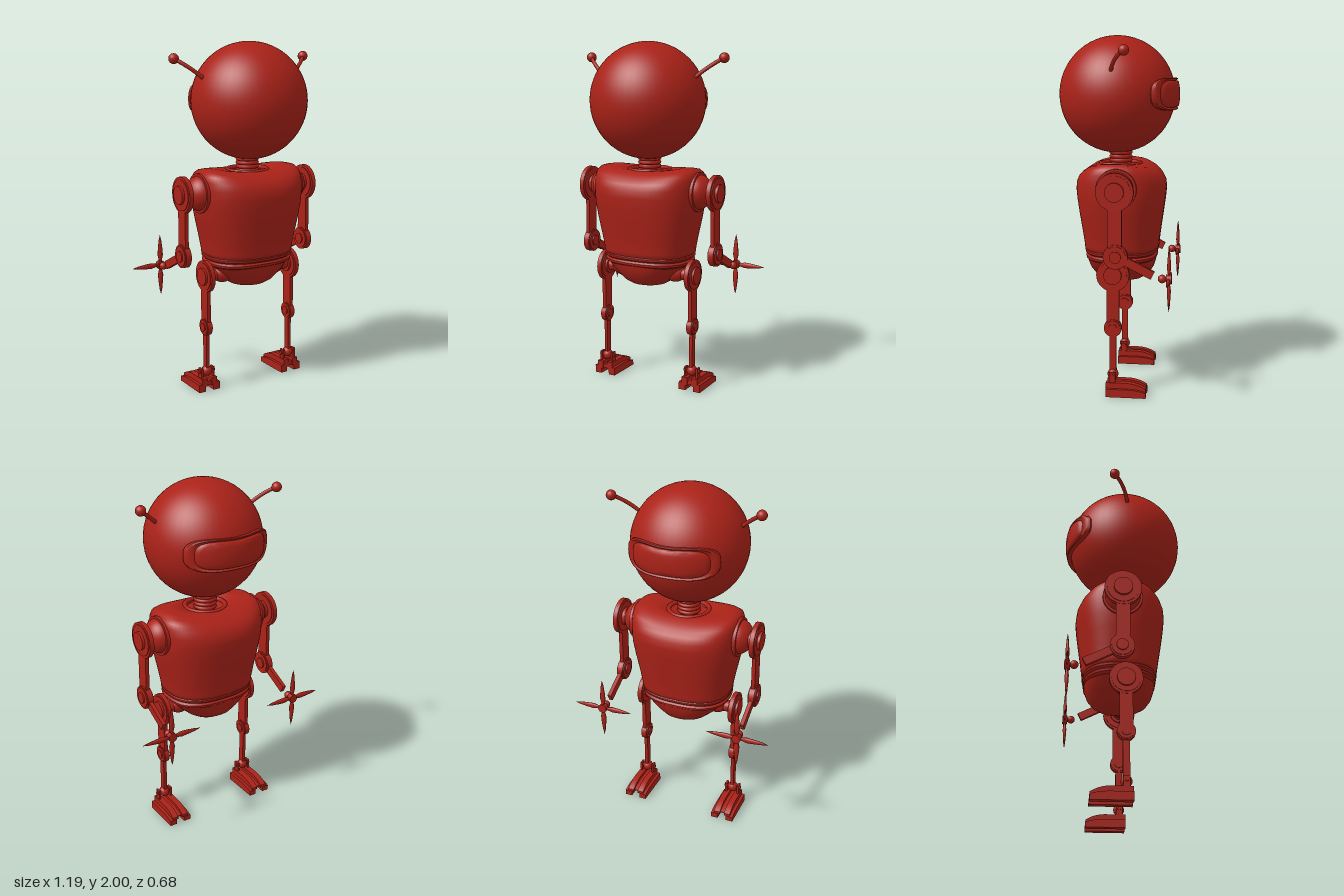
import * as THREE from 'three';
import { toCreasedNormals } from 'three/addons/utils/BufferGeometryUtils.js';

const mat = new THREE.MeshStandardMaterial({ color: 0xaa2218 });

function add(parent, name, geo, x = 0, y = 0, z = 0) {
  const m = new THREE.Mesh(geo, mat);
  m.name = name;
  m.position.set(x, y, z);
  parent.add(m);
  return m;
}

// Closed rings of points skinned into one surface
function skin(rows, seg, point, crease = 0.7) {
  const pos = [], idx = [];
  rows.forEach((row) => {
    for (let i = 0; i < seg; i++) pos.push(...point(row, (i / seg) * Math.PI * 2));
  });
  for (let j = 0; j < rows.length - 1; j++) {
    for (let i = 0; i < seg; i++) {
      const a = j * seg + i, b = j * seg + (i + 1) % seg;
      idx.push(a, a + seg, b, b, a + seg, b + seg);
    }
  }
  const g = new THREE.BufferGeometry();
  g.setAttribute('position', new THREE.Float32BufferAttribute(pos, 3));
  g.setIndex(idx);
  return toCreasedNormals(g, crease);
}

const spow = (v, p) => Math.sign(v) * Math.abs(v) ** p;

// Rounded-box cross-section; row = [y, rx, rz, cz, power, shoulder lift]
const bodyPoint = ([y, rx, rz, cz, p = 0.78, lift = 0], t) => {
  const x = rx * spow(Math.cos(t), p);
  return [x, y + lift * (x / 0.25) ** 2, cz + rz * spow(Math.sin(t), p)];
};

// Cylinder lying along x
function disc(parent, name, r, x0, x1, y, z, seg = 32) {
  const g = new THREE.CylinderGeometry(r, r, Math.abs(x1 - x0), seg).rotateZ(Math.PI / 2);
  return add(parent, name, g, (x0 + x1) / 2, y, z);
}

// Pivot joint: a wide disc with a smaller hub through it
function joint(parent, name, s, r, hubR, x, w, hubW, y, z) {
  const g = new THREE.Group();
  g.name = name;
  parent.add(g);
  disc(g, 'jointDisc', r, s * x - w / 2, s * x + w / 2, y, z);
  disc(g, 'jointRim', r * 0.86, s * x - w * 0.65, s * x + w * 0.65, y, z);
  disc(g, 'jointHub', hubR, s * x - hubW / 2, s * x + hubW / 2, y, z);
}

function buildHead(root) {
  const head = new THREE.Group();
  head.name = 'head';
  head.position.set(0, 1.67, 0.01);
  root.add(head);
  add(head, 'skull', new THREE.SphereGeometry(0.33, 48, 32));

  // Goggle-shaped visor wrapped on the sphere: [outline scale, radius]
  const rows = [[1.02, 0.315], [1.02, 0.338], [0.98, 0.352], [0.93, 0.354], [0.88, 0.347],
    [0.85, 0.343], [0.81, 0.35], [0.75, 0.354], [0.5, 0.355], [0.25, 0.355], [0.001, 0.355]];
  const visor = skin(rows, 64, ([k, r], t) => {
    const cx = spow(Math.cos(t), 0.8);
    const x = 0.25 * cx * k;
    const y = 0.112 * spow(Math.sin(t), 0.75) * (0.74 + 0.3 * cx * cx) * k;
    const v = new THREE.Vector3(x, y + 0.005, -Math.sqrt(0.33 ** 2 - x * x - y * y));
    return v.setLength(r).toArray();
  });
  add(head, 'visor', visor);

  for (const s of [1, -1]) {
    const curve = new THREE.QuadraticBezierCurve3(
      new THREE.Vector3(s * 0.29, 0.13, 0),
      new THREE.Vector3(s * 0.375, 0.2, -0.02),
      new THREE.Vector3(s * 0.43, 0.238, -0.085));
    add(head, 'antennaRod', new THREE.TubeGeometry(curve, 14, 0.011, 10));
    add(head, 'antennaBall', new THREE.SphereGeometry(0.029, 20, 14), s * 0.43, 0.238, -0.085);
  }
}

function buildBody(root) {
  // Ribbed neck
  add(root, 'neck', new THREE.CylinderGeometry(0.056, 0.056, 0.14, 28), 0, 1.31, -0.01);
  for (let i = 0; i < 4; i++) {
    add(root, 'neckRib', new THREE.TorusGeometry(0.056, 0.011, 8, 28).rotateX(Math.PI / 2), 0, 1.275 + i * 0.022, -0.01);
  }
  add(root, 'collar', new THREE.TorusGeometry(0.115, 0.013, 10, 40).rotateX(Math.PI / 2), 0, 1.277, -0.01);

  // Chest shell, from the waist up and in to the neck
  add(root, 'chest', skin([
    [0.79, 0.01, 0.01, -0.02], [0.79, 0.25, 0.2, -0.02], [0.8, 0.262, 0.212, -0.02],
    [0.82, 0.264, 0.213, -0.02], [0.9, 0.279, 0.224, -0.019], [1.0, 0.3, 0.239, -0.018],
    [1.08, 0.314, 0.25, -0.018], [1.14, 0.318, 0.256, -0.018], [1.18, 0.317, 0.252, -0.017, 0.76, 0.01],
    [1.215, 0.315, 0.235, -0.015, 0.74, 0.015], [1.24, 0.31, 0.21, -0.014, 0.74, 0.02],
    [1.262, 0.295, 0.175, -0.012, 0.76, 0.02], [1.274, 0.26, 0.145, -0.01, 0.8, 0.02],
    [1.28, 0.21, 0.125, -0.01, 0.9, 0.02], [1.28, 0.12, 0.112, -0.01, 1, 0],
    [1.262, 0.105, 0.1, -0.01, 1, 0], [1.26, 0.01, 0.01, -0.01, 1, 0],
  ], 64, bodyPoint, 0.9));

  // Waist bands
  add(root, 'waistBand', skin([
    [0.735, 0.01, 0.01, -0.02], [0.735, 0.24, 0.19, -0.02], [0.745, 0.257, 0.203, -0.02],
    [0.758, 0.26, 0.205, -0.02], [0.768, 0.248, 0.196, -0.02], [0.778, 0.26, 0.208, -0.02],
    [0.79, 0.262, 0.21, -0.02], [0.8, 0.25, 0.2, -0.02], [0.8, 0.01, 0.01, -0.02],
  ], 64, bodyPoint));

  // Bowl-shaped pelvis
  add(root, 'pelvis', skin([
    [0.604, 0.001, 0.001, -0.02, 0.9], [0.606, 0.07, 0.075, -0.02, 0.9], [0.615, 0.108, 0.115, -0.02, 0.9],
    [0.64, 0.145, 0.155, -0.02, 0.9], [0.68, 0.19, 0.182, -0.02, 0.88], [0.72, 0.226, 0.195, -0.02, 0.84],
    [0.75, 0.245, 0.2, -0.02, 0.8],
  ], 56, bodyPoint, 0.9));
}

function buildArm(root, s) {
  const arm = new THREE.Group();
  arm.name = s > 0 ? 'leftArm' : 'rightArm';
  root.add(arm);
  const x = 0.413;

  const ball = add(arm, 'shoulderBall', new THREE.SphereGeometry(0.1, 32, 24), s * 0.305, 1.165, -0.02);
  ball.scale.x = 0.85;
  disc(arm, 'shoulderSocket', 0.112, s * 0.27, s * 0.322, 1.165, -0.02);
  joint(arm, 'shoulderJoint', s, 0.103, 0.052, x, 0.026, 0.065, 1.165, -0.025);
  disc(arm, 'shoulderAxle', 0.05, s * 0.35, s * 0.4, 1.165, -0.025);
  add(arm, 'upperArm', new THREE.BoxGeometry(0.022, 0.3, 0.078), s * x, 0.96, -0.025);
  joint(arm, 'elbow', s, 0.067, 0.032, x, 0.034, 0.06, 0.815, -0.03);

  const fore = add(arm, 'forearm', new THREE.BoxGeometry(0.022, 0.046, 0.22), s * x, 0.766, -0.133);
  fore.rotation.x = -0.463;
  add(arm, 'wristBall', new THREE.SphereGeometry(0.023, 20, 14), s * x, 0.7, -0.282);

  // Four-bladed rotor hand
  const rotor = new THREE.Group();
  rotor.name = 'rotorHand';
  rotor.position.set(s * x, 0.698, -0.319);
  arm.add(rotor);
  add(rotor, 'rotorHub', new THREE.CylinderGeometry(0.026, 0.026, 0.03, 20).rotateX(Math.PI / 2));
  add(rotor, 'rotorShaft', new THREE.CylinderGeometry(0.012, 0.012, 0.04, 14).rotateX(Math.PI / 2), 0, 0, 0.02);
  const profile = [[0.007, 0], [0.009, 0.025], [0.017, 0.06], [0.014, 0.1], [0.008, 0.15], [0, 0.182]]
    .map(([r, y]) => new THREE.Vector2(r, y));
  for (let i = 0; i < 4; i++) {
    const blade = add(rotor, 'rotorBlade', new THREE.LatheGeometry(profile, 14).scale(1, 1, 0.65));
    blade.rotation.z = (i * Math.PI) / 2;
  }
}

function buildLeg(root, s) {
  const leg = new THREE.Group();
  leg.name = s > 0 ? 'leftLeg' : 'rightLeg';
  root.add(leg);
  const x = 0.288;

  const lobe = add(leg, 'hipLobe', new THREE.SphereGeometry(0.055, 24, 16), s * 0.175, 0.69, 0);
  lobe.scale.x = 1.2;
  disc(leg, 'hipAxle', 0.034, s * 0.16, s * 0.27, 0.685, 0);
  joint(leg, 'hipJoint', s, 0.092, 0.05, x, 0.025, 0.058, 0.685, 0);
  add(leg, 'thigh', new THREE.BoxGeometry(0.022, 0.28, 0.072), s * x, 0.53, 0);
  joint(leg, 'knee', s, 0.05, 0.025, x, 0.03, 0.05, 0.383, 0);
  add(leg, 'shin', new THREE.BoxGeometry(0.02, 0.25, 0.038), s * x, 0.24, 0);
  add(leg, 'ankleBall', new THREE.SphereGeometry(0.031, 24, 16), s * x, 0.115, 0);
  disc(leg, 'anklePin', 0.011, s * x - 0.05, s * x + 0.05, 0.115, 0, 16);

  // Foot: two low outer runners, two taller inner ones and a bridge, toes at -z
  const runner = (name, cx, w, y0, yTop, yToe, heel, toe) => {
    const p = new THREE.Shape();
    p.moveTo(-heel, y0);
    p.lineTo(toe, y0);
    p.lineTo(toe, yToe);
    p.quadraticCurveTo(toe - 0.05, yTop, toe - 0.11, yTop);
    p.lineTo(-heel, yTop);
    p.closePath();
    const g = new THREE.ExtrudeGeometry(p, { depth: w, bevelEnabled: false, curveSegments: 8 });
    g.translate(0, 0, -w / 2).rotateY(Math.PI / 2);
    add(leg, name, toCreasedNormals(g, 0.5), s * x + cx, 0, 0);
  };
  for (const k of [1, -1]) {
    runner('footRunner', k * 0.047, 0.042, 0, 0.046, 0.03, 0.035, 0.19);
    runner('footRail', k * 0.032, 0.036, 0.03, 0.078, 0.046, 0.035, 0.188);
    add(leg, 'ankleBracket', new THREE.BoxGeometry(0.012, 0.07, 0.036), s * x + k * 0.038, 0.1, 0);
  }
  runner('footBridge', 0, 0.05, 0.035, 0.06, 0.04, 0.03, 0.175);
}

export function createModel() {
  const root = new THREE.Group();
  root.name = 'robot';
  buildHead(root);
  buildBody(root);
  for (const s of [1, -1]) {
    buildArm(root, s);
    buildLeg(root, s);
  }
  return root;
}
